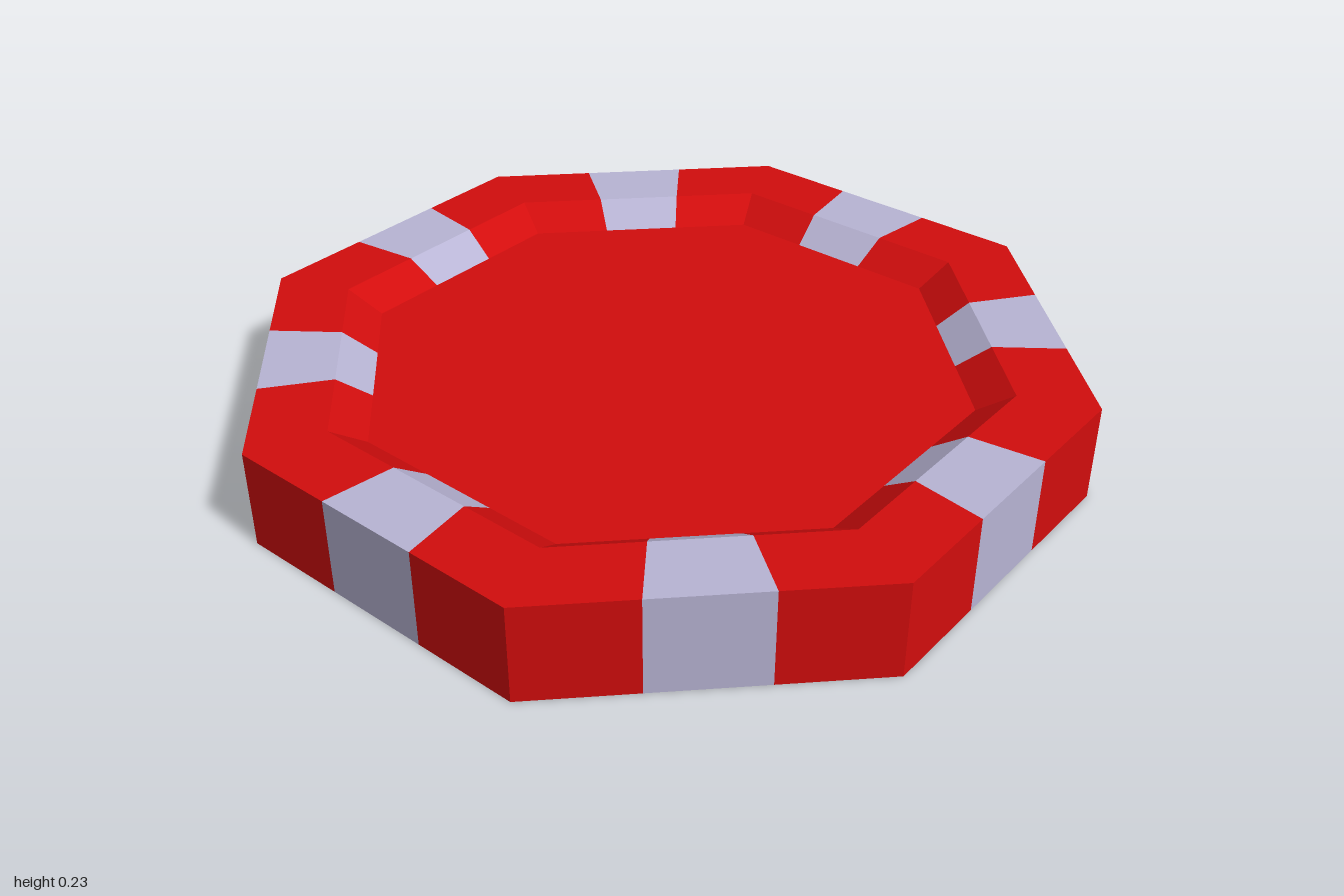
import * as THREE from 'three';

const SIDES = 8;
const HEIGHT = 0.235;
const FLOOR_TOP = { r: 0.73, y: 0.18 };
const FLOOR_BOTTOM = { r: 0.74, y: 0.058 };

// Rim cross-section [radius, y], from the underside recess round to the top recess
const RIM_PROFILE = [
  [FLOOR_BOTTOM.r, FLOOR_BOTTOM.y], [0.755, 0], [1, 0],
  [1, HEIGHT], [0.815, HEIGHT], [FLOOR_TOP.r, FLOOR_TOP.y],
];

// Point on an octagon edge: each edge is divided into thirds
function octagonPoint(step, [radius, y]) {
  const corner = (i) => {
    const a = (i / SIDES) * Math.PI * 2;
    return new THREE.Vector3(Math.sin(a) * radius, y, Math.cos(a) * radius);
  };
  const i = Math.floor(step / 3);
  return corner(i).lerp(corner(i + 1), (step % 3) / 3);
}

// Sweeps the rim profile across the chosen thirds of every edge
function rimGeometry(thirds) {
  const positions = [];
  for (let side = 0; side < SIDES; side++) {
    for (const third of thirds) {
      const k = side * 3 + third;
      for (let j = 0; j < RIM_PROFILE.length - 1; j++) {
        const a = octagonPoint(k, RIM_PROFILE[j]);
        const b = octagonPoint(k + 1, RIM_PROFILE[j]);
        const c = octagonPoint(k + 1, RIM_PROFILE[j + 1]);
        const d = octagonPoint(k, RIM_PROFILE[j + 1]);
        for (const p of [a, b, c, a, c, d]) positions.push(p.x, p.y, p.z);
      }
    }
  }
  const geometry = new THREE.BufferGeometry();
  geometry.setAttribute('position', new THREE.Float32BufferAttribute(positions, 3));
  geometry.computeVertexNormals();
  return geometry;
}

export function createModel() {
  const red = new THREE.MeshStandardMaterial({ color: 0xd20d0d });
  red.name = 'red';
  const lavender = new THREE.MeshStandardMaterial({ color: 0xb8b4d4 });
  lavender.name = 'paleLavender';

  const model = new THREE.Group();
  model.name = 'chip';
  const add = (name, geometry, material) => {
    const mesh = new THREE.Mesh(geometry, material);
    mesh.name = name;
    model.add(mesh);
    return mesh;
  };

  // Raised rim: red corners with a pale stripe in the middle of each edge
  add('rimCorners', rimGeometry([0, 2]), red);
  add('rimStripes', rimGeometry([1]), lavender);

  // Recessed faces on both sides
  const top = add('topFace', new THREE.CircleGeometry(FLOOR_TOP.r, SIDES), red);
  top.rotation.x = -Math.PI / 2;
  top.position.y = FLOOR_TOP.y;
  const bottom = add('bottomFace', new THREE.CircleGeometry(FLOOR_BOTTOM.r, SIDES), red);
  bottom.rotation.x = Math.PI / 2;
  bottom.position.y = FLOOR_BOTTOM.y;

  return model;
}
